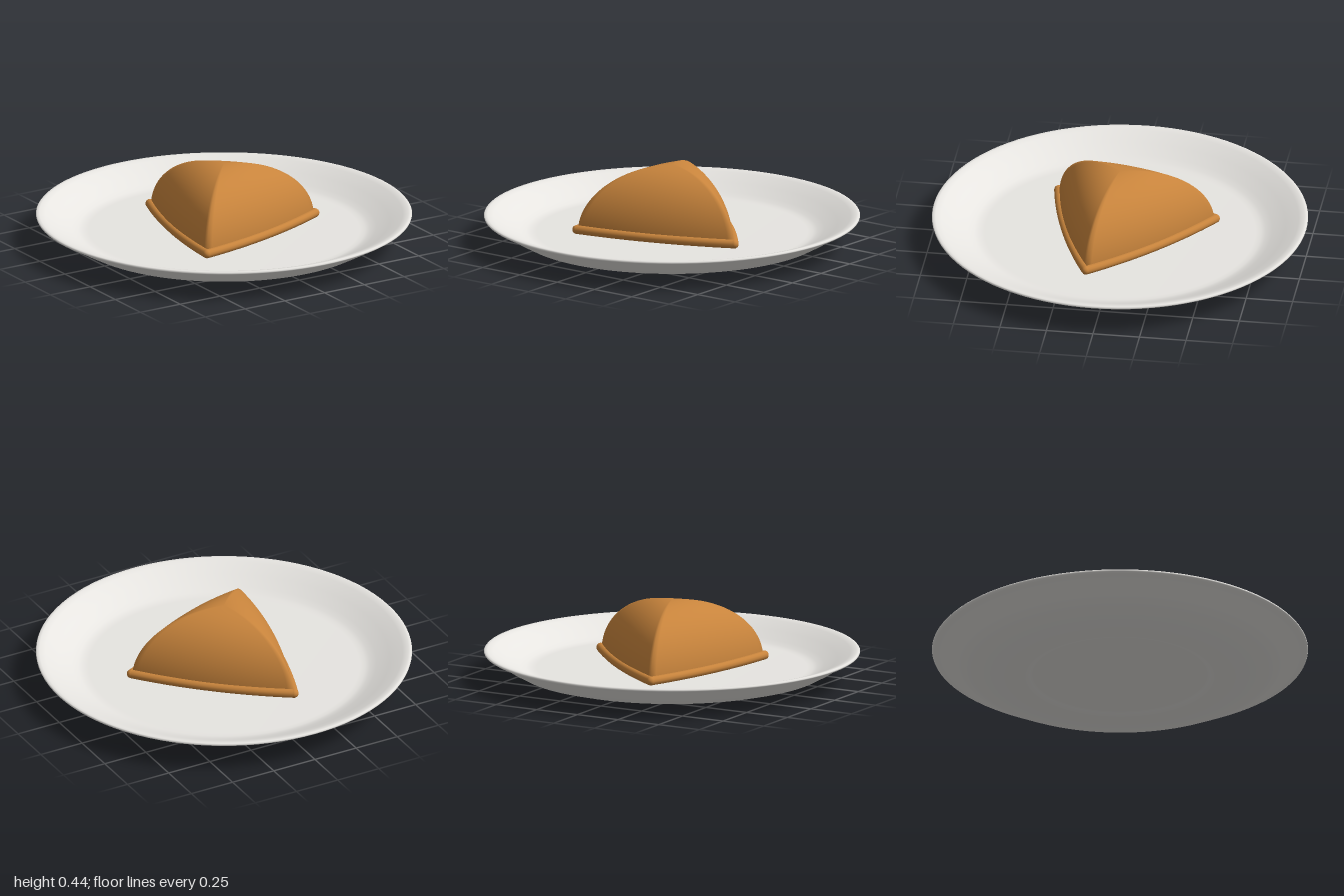
import * as THREE from 'three';

const plateWhite = new THREE.MeshStandardMaterial({ color: 0xf0eeea });
plateWhite.name = 'plateWhite';
const pastryBrown = new THREE.MeshStandardMaterial({ color: 0xc8843c });
pastryBrown.name = 'pastryBrown';

// Corner k of the three-cornered pastry, at a given distance from the centre
function corner(k, radius, y = 0) {
  const a = THREE.MathUtils.degToRad(12.4 + 120 * k);
  return new THREE.Vector3(radius * Math.cos(a), y, radius * Math.sin(a));
}

// Gently bowed side between two corners
function side(k, radius, bulge, y = 0) {
  const a = corner(k, radius, y);
  const b = corner(k + 1, radius, y);
  const out = corner(k + 0.5, 2 * bulge);
  const mid = a.clone().add(b).multiplyScalar(0.5).add(out);
  return new THREE.QuadraticBezierCurve3(a, mid, b);
}

// Puffed body: the bowed triangle shrinks to the apex along an elliptical profile
function puffGeometry() {
  const perSide = 28, rings = 28, around = perSide * 3;
  const base = 0.09, height = 0.35;
  const outline = [];
  for (let k = 0; k < 3; k++) {
    const curve = side(k, 0.508, 0.04);
    for (let j = 0; j < perSide; j++) outline.push(curve.getPoint(j / perSide));
  }
  const positions = [], index = [];
  for (let i = 0; i < rings; i++) {
    const phi = (i / rings) * Math.PI / 2;
    for (const p of outline) {
      positions.push(p.x * Math.cos(phi), base + height * Math.sin(phi), p.z * Math.cos(phi));
    }
  }
  positions.push(0, base + height, 0);
  const apex = rings * around;
  for (let i = 0; i < rings; i++) {
    for (let j = 0; j < around; j++) {
      const a = i * around + j;
      const b = i * around + (j + 1) % around;
      if (i === rings - 1) index.push(a, apex, b);
      else index.push(a, a + around, b, b, a + around, b + around);
    }
  }
  const geometry = new THREE.BufferGeometry();
  geometry.setAttribute('position', new THREE.Float32BufferAttribute(positions, 3));
  geometry.setIndex(index);
  geometry.computeVertexNormals();
  return geometry;
}

export function createModel() {
  const model = new THREE.Group();
  model.name = 'pastryOnPlate';
  const add = (parent, name, geometry, material) => {
    const mesh = new THREE.Mesh(geometry, material);
    mesh.name = name;
    parent.add(mesh);
    return mesh;
  };

  // Plate: recessed underside, sloping wall, rolled lip, flat floor
  const profile = [
    [0, 0.014], [0.46, 0.014], [0.478, 0.011], [0.492, 0.001], [0.51, 0], [0.595, 0],
    [0.62, 0.004], [0.72, 0.026], [0.81, 0.05], [0.88, 0.088], [0.95, 0.134],
    [0.985, 0.146], [0.998, 0.154], [1, 0.16], [0.995, 0.166], [0.98, 0.166],
    [0.95, 0.158], [0.88, 0.122], [0.81, 0.089], [0.775, 0.076], [0.75, 0.07],
    [0.72, 0.069], [0, 0.069],
  ].map(([r, y]) => new THREE.Vector2(r, y));
  add(model, 'plate', new THREE.LatheGeometry(profile, 96), plateWhite);

  // Pastry: puffed body with a rolled seam along its lower edge
  const pastry = new THREE.Group();
  pastry.name = 'pastry';
  model.add(pastry);
  add(pastry, 'pastryBody', puffGeometry(), pastryBrown);
  const seamRadius = 0.024;
  for (let k = 0; k < 3; k++) {
    const path = side(k, 0.514, 0.034, 0.104);
    add(pastry, 'seamRoll', new THREE.TubeGeometry(path, 24, seamRadius, 12), pastryBrown);
    add(pastry, 'seamCorner', new THREE.SphereGeometry(seamRadius, 16, 12), pastryBrown)
      .position.copy(corner(k, 0.514, 0.104));
  }
  return model;
}
